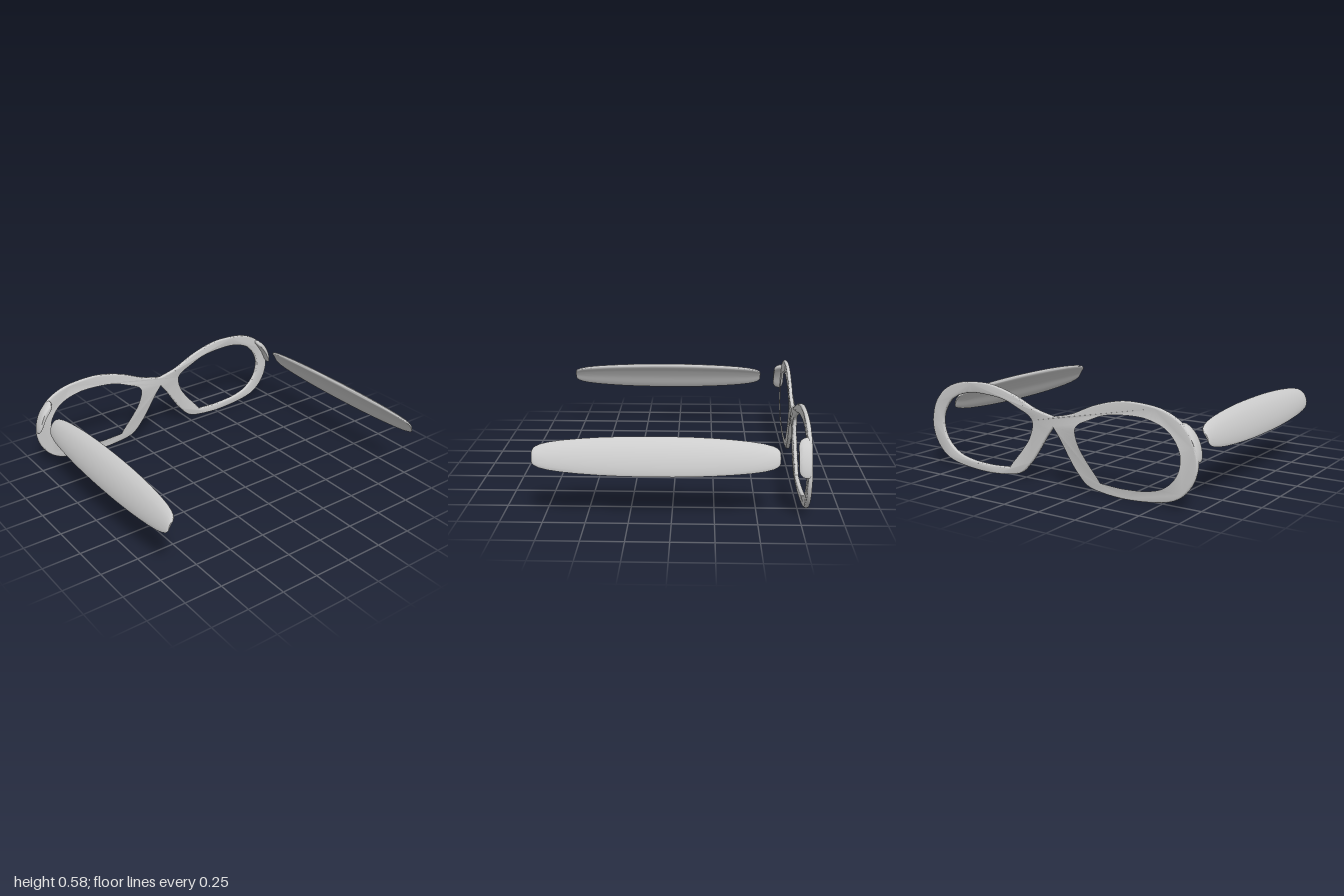
import * as THREE from 'three';
import { toCreasedNormals } from 'three/addons/utils/BufferGeometryUtils.js';

const V = (p) => new THREE.Vector2(p[0], p[1]);
const flip = (p) => [-p[0], p[1]];

// Rim outline for one half, (z, y), from bridge top round to bridge underside
const OUTER = [[0, .434], [.14, .468], [.3, .536], [.463, .58], [.597, .588], [.757, .57], [.88, .515],
  [.955, .43], [.997, .31], [.983, .2], [.925, .107], [.84, .05], [.7, .02], [.517, .008],
  [.355, .02], [.25, .048], [.17, .125], [.115, .2], [.05, .3], [0, .365]];
// Lens opening, starting and ending at the tip of the nose pad
const HOLE = [[.345, .07], [.325, .098], [.245, .19], [.185, .275], [.158, .365], [.185, .415], [.27, .455],
  [.38, .497], [.517, .515], [.66, .513], [.785, .475], [.86, .408], [.9, .311], [.877, .2], [.796, .115],
  [.678, .075], [.517, .062], [.4, .066], [.345, .07]];
// Crescent cross-section (z, y) shared by the temples and hinges
const CRESCENT = [[.999, .295], [.997, .34], [.973, .412], [.933, .472], [.888, .503],
  [.879, .485], [.912, .44], [.948, .385], [.98, .32]];

function frameGeometry() {
  const shape = new THREE.Shape();
  shape.moveTo(...OUTER[0]);
  shape.splineThru(OUTER.slice(1).map(V));
  shape.splineThru(OUTER.map(flip).reverse().slice(1).map(V));
  for (const pts of [HOLE, HOLE.map(flip)]) {
    const hole = new THREE.Path();
    hole.moveTo(...pts[0]);
    hole.splineThru(pts.slice(1).map(V));
    shape.holes.push(hole);
  }
  const bevel = .009;
  const geo = new THREE.ExtrudeGeometry(shape, {
    depth: .008, curveSegments: 90, bevelEnabled: true, bevelThickness: bevel,
    bevelSize: bevel, bevelOffset: -bevel, bevelSegments: 3,
  });
  geo.translate(0, 0, -.004);
  geo.rotateY(-Math.PI / 2);
  // Slight bow of the front towards the bridge
  const p = geo.attributes.position;
  for (let i = 0; i < p.count; i++) {
    const z = Math.min(1, Math.abs(p.getZ(i)));
    p.setX(i, p.getX(i) - .792 + .012 * (1 - z) ** 2);
  }
  return toCreasedNormals(geo, .7);
}

// Lofts the crescent along x; stations are [x, scale], side is +1 or -1 in z
function crescentLoft(stations, side) {
  const n = 40, cz = .956, cy = .4;
  const curve = new THREE.CatmullRomCurve3(CRESCENT.map(([z, y]) => new THREE.Vector3(0, y, z)), true);
  const ring = curve.getPoints(n).slice(0, n);
  const pos = [], index = [];
  stations.forEach(([x, s]) => ring.forEach((q) => {
    pos.push(x, cy + (q.y - cy) * s, side * (cz + (q.z - cz) * s));
  }));
  for (let i = 0; i < stations.length - 1; i++) {
    for (let j = 0; j < n; j++) {
      const k = (j + 1) % n;
      const a = i * n + j, b = a + n, c = i * n + k, d = c + n;
      if (side > 0) index.push(a, b, c, c, b, d);
      else index.push(a, c, b, c, d, b);
    }
  }
  const geo = new THREE.BufferGeometry();
  geo.setAttribute('position', new THREE.Float32BufferAttribute(pos, 3));
  geo.setIndex(index);
  return toCreasedNormals(geo, .7);
}

export function createModel() {
  const model = new THREE.Group();
  model.name = 'spectacles';
  const grey = new THREE.MeshStandardMaterial({ color: 0xcccccc });
  grey.name = 'light grey';
  const add = (name, geo) => {
    const mesh = new THREE.Mesh(geo, grey);
    mesh.name = name;
    model.add(mesh);
  };

  add('frontFrame', frameGeometry());

  // Temple: half profile from tip to middle, mirrored about its centre
  const mid = .09;
  const half = [[.715, 0], [.714, .25], [.708, .38], [.695, .48], [.67, .58], [.62, .69], [.54, .79],
    [.44, .87], [.33, .935], [.2, .98], [.1, .995]];
  const temple = [...half.map(([d, s]) => [mid - d, s]), [mid, 1],
    ...half.map(([d, s]) => [mid + d, s]).reverse()];
  const hinge = [[-.803, 0], [-.803, .6], [-.798, .85], [-.785, 1], [-.765, 1], [-.75, .95],
    [-.738, .86], [-.73, .73], [-.727, .6], [-.727, 0]];

  for (const [label, side] of [['front', 1], ['rear', -1]]) {
    add(label + 'Hinge', crescentLoft(hinge, side));
    add(label + 'Temple', crescentLoft(temple, side));
  }
  return model;
}
